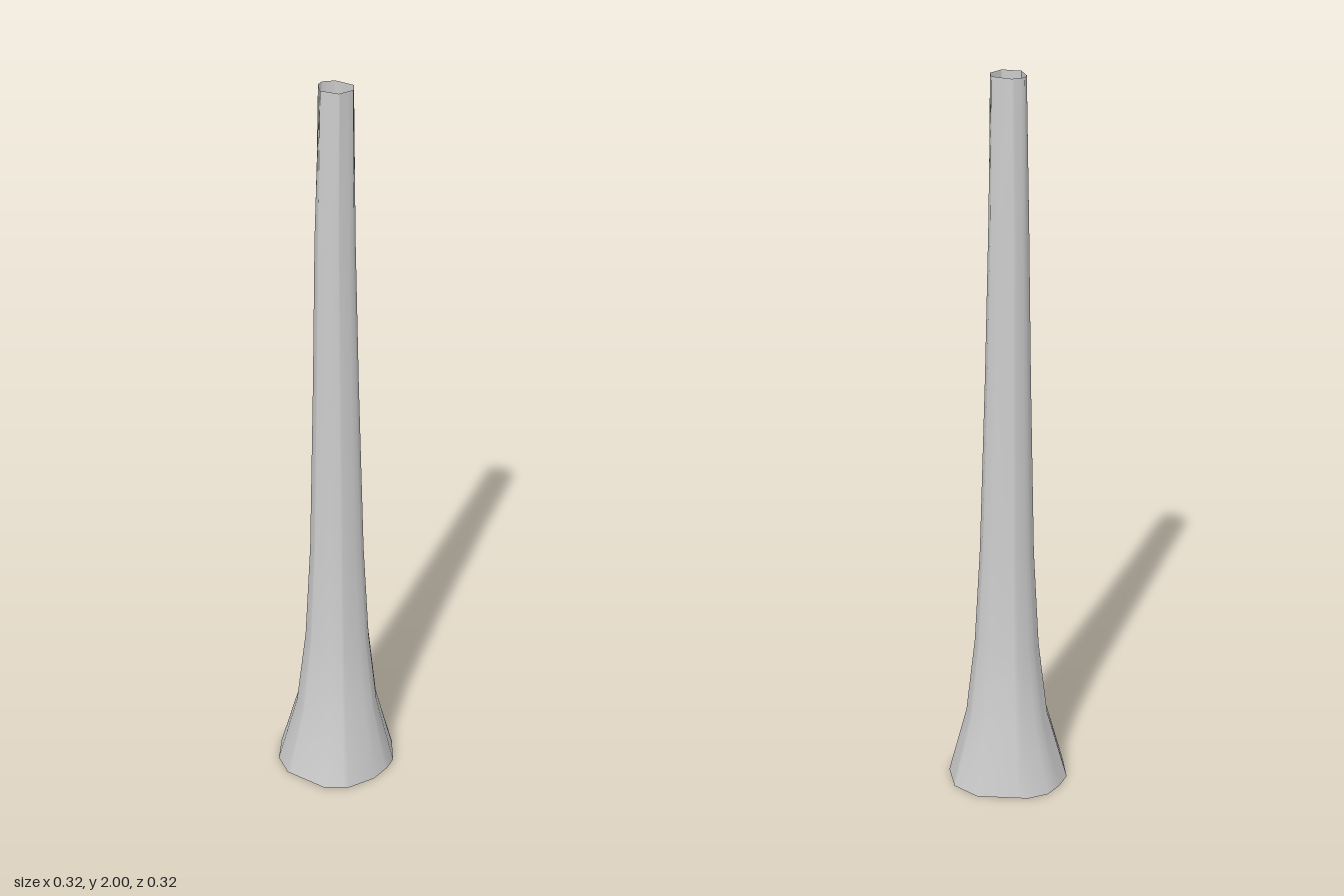
import * as THREE from 'three';

// Irregular end outlines as [x, z], ordered by growing angle
const BASE = [[-0.07, -0.152], [-0.02, -0.163], [0.035, -0.162], [0.085, -0.13], [0.159, -0.01],
  [0.154, 0.072], [0.095, 0.136], [0.057, 0.151], [-0.005, 0.16], [-0.085, 0.14],
  [-0.135, 0.09], [-0.16, -0.03], [-0.134, -0.095]];
const TIP = [[0, -0.05], [0.029, -0.032], [0.039, 0.022], [0.014, 0.045], [-0.029, 0.04],
  [-0.047, -0.006], [-0.02, -0.042]];

// Distance from the axis to an outline in direction a
function reach(outline, a) {
  const dx = Math.cos(a), dz = Math.sin(a);
  for (let i = 0; i < outline.length; i++) {
    const [px, pz] = outline[i], [qx, qz] = outline[(i + 1) % outline.length];
    const ex = qx - px, ez = qz - pz;
    const den = dx * ez - dz * ex;
    const t = (px * ez - pz * ex) / den;
    const s = (px * dz - pz * dx) / den;
    if (t > 0 && s >= -1e-6 && s <= 1 + 1e-6) return t;
  }
  return 0;
}

export function createModel() {
  // Middle rings: height, radius, centre x, centre z
  const rings = [[0.2, 0.113, 0.002, 0.002], [0.42, 0.088, 0.003, 0.002], [0.7, 0.073, 0.002, 0.002],
    [1.2, 0.06, 0, 0], [1.6, 0.052, -0.002, -0.001]];
  const angles = [...BASE, ...TIP].map(([x, z]) => Math.atan2(z, x)).sort((a, b) => a - b);
  const n = angles.length;
  const positions = [], index = [];

  const addRing = (y, radius, cx = 0, cz = 0) => angles.forEach((a) => {
    const r = radius(a);
    positions.push(cx + r * Math.cos(a), y, cz + r * Math.sin(a));
  });
  addRing(0, (a) => reach(BASE, a));
  rings.forEach(([y, r, cx, cz]) => addRing(y, () => r, cx, cz));
  addRing(2, (a) => reach(TIP, a));

  // Skin between neighbouring rings, both ends left open
  for (let j = 0; j <= rings.length; j++) {
    for (let i = 0; i < n; i++) {
      const a = j * n + i, b = j * n + (i + 1) % n;
      index.push(a, a + n, b, b, a + n, b + n);
    }
  }
  const geometry = new THREE.BufferGeometry();
  geometry.setAttribute('position', new THREE.Float32BufferAttribute(positions, 3));
  geometry.setIndex(index);
  geometry.computeVertexNormals();

  const tube = new THREE.Mesh(geometry,
    new THREE.MeshStandardMaterial({ color: 0xcccccc, side: THREE.DoubleSide }));
  tube.name = 'flaredTube';
  const group = new THREE.Group();
  group.name = 'flaredColumn';
  group.add(tube);
  return group;
}
